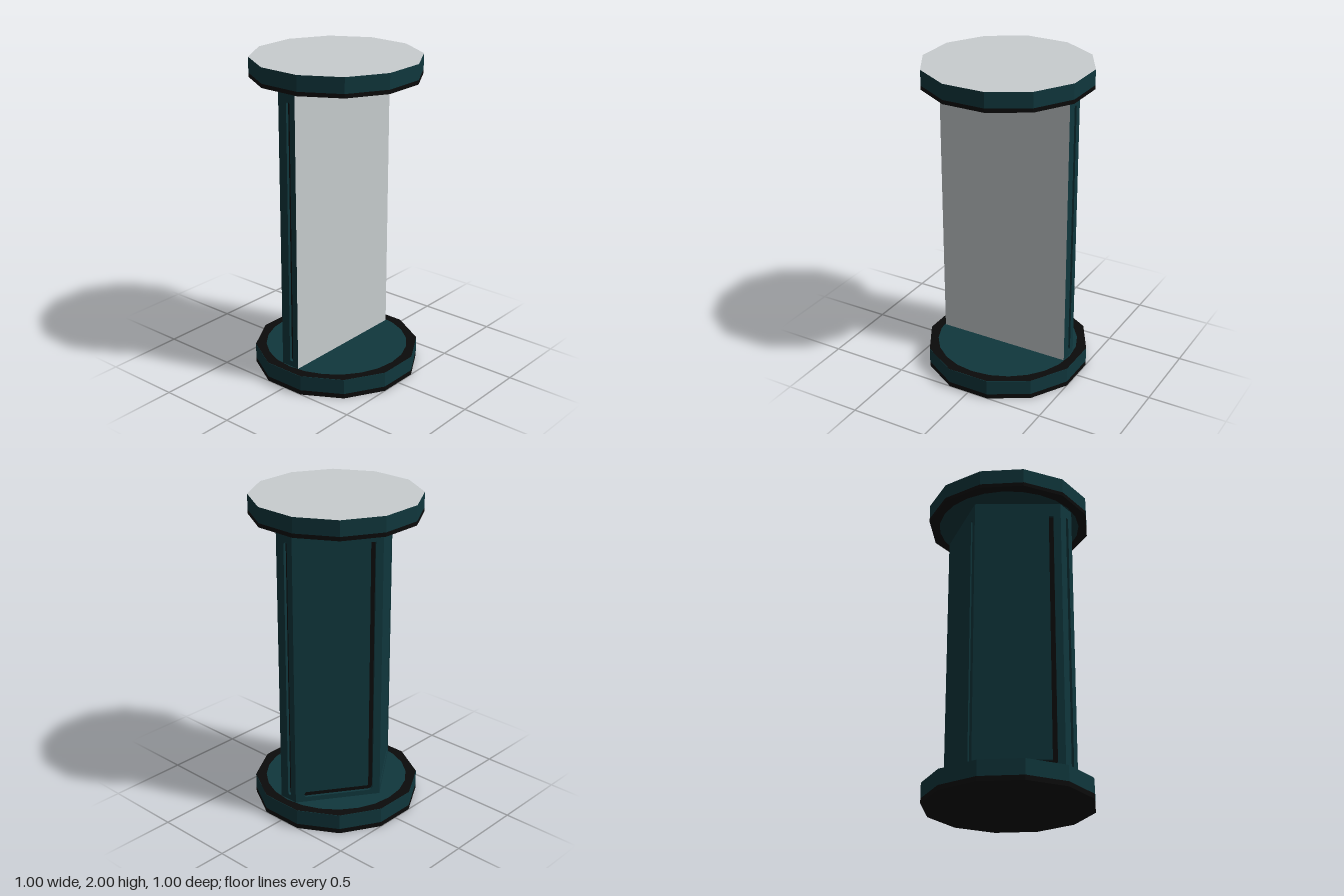
import * as THREE from 'three';

const COLUMN_BASE = 0.12, COLUMN_TOP = 1.885, GROOVE_DEPTH = 0.018;

function makeMaterial(name, color, side = THREE.FrontSide) {
  const m = new THREE.MeshStandardMaterial({ color, side });
  m.name = name;
  m.flatShading = true;
  return m;
}

function add(parent, name, geometry, material, x = 0, y = 0, z = 0) {
  const mesh = new THREE.Mesh(geometry, material);
  mesh.name = name;
  mesh.position.set(x, y, z);
  parent.add(mesh);
  return mesh;
}

// Twelve-sided slab, one unit across the flats
function slab(bottom, top) {
  const r = 0.5 / Math.cos(Math.PI / 12);
  const g = new THREE.CylinderGeometry(r, r, top - bottom, 12);
  g.rotateY(Math.PI / 12);
  g.translate(0, (top + bottom) / 2, 0);
  return g;
}

// Straight vertical groove on the narrow faces
function slotPoints(width) {
  const c = width * 0.58, r = 0.013;
  const s = new THREE.Shape();
  s.absarc(c, 0.173, r, Math.PI, Math.PI * 2);
  s.absarc(c, 1.797, r, 0, Math.PI);
  return s.getPoints(5);
}

// L-shaped groove on the wide faces
function anglePoints(width) {
  const x0 = 0.05, x1 = width - 0.045, y0 = 0.157, w = 0.029, h = 0.034;
  const s = new THREE.Shape();
  s.moveTo(x0 + 0.012, y0);
  s.lineTo(x1 - 0.03, y0);
  s.quadraticCurveTo(x1, y0, x1, y0 + 0.03);
  s.lineTo(x1, 1.79);
  s.lineTo(x1 - w, 1.79);
  s.lineTo(x1 - w, y0 + h);
  s.lineTo(x0 + 0.012, y0 + h);
  s.quadraticCurveTo(x0, y0 + h / 2, x0 + 0.012, y0);
  return s.getPoints(5);
}

// Side walls of a recess that follows the given outline
function recessWall(points) {
  const pos = [];
  points.forEach((a, i) => {
    const b = points[(i + 1) % points.length], d = -GROOVE_DEPTH;
    pos.push(a.x, a.y, 0, b.x, b.y, 0, b.x, b.y, d, a.x, a.y, 0, b.x, b.y, d, a.x, a.y, d);
  });
  const g = new THREE.BufferGeometry();
  g.setAttribute('position', new THREE.Float32BufferAttribute(pos, 3));
  g.computeVertexNormals();
  return g;
}

export function createModel() {
  const model = new THREE.Group();
  model.name = 'pillar';
  const teal = makeMaterial('dark teal', 0x10373d);
  const tealWall = makeMaterial('dark teal recess', 0x10373d, THREE.DoubleSide);
  const black = makeMaterial('black', 0x0b0b0b);
  const grey = makeMaterial('pale grey', 0xc8cdcf);

  // Base: black foot, teal slab, black border on the upper face
  add(model, 'baseFoot', slab(0, 0.03), black);
  add(model, 'baseSlab', slab(0.03, 0.125), teal);
  const border = new THREE.Shape();
  for (let i = 0; i < 12; i++) {
    const a = (i + 0.5) * Math.PI / 6, r = 0.5 / Math.cos(Math.PI / 12);
    border[i ? 'lineTo' : 'moveTo'](Math.cos(a) * r, Math.sin(a) * r);
  }
  border.holes.push(new THREE.Path().absarc(0, 0, 0.45, 0, Math.PI * 2, true));
  add(model, 'baseBorder', new THREE.ShapeGeometry(border, 12), black, 0, 0.127, 0)
    .rotation.x = -Math.PI / 2;

  // Cap: black lower edge, teal slab with grey top, teal underside
  add(model, 'capEdge', slab(1.88, 1.905), black);
  add(model, 'capSlab', slab(1.905, 2), [teal, grey, teal]);
  add(model, 'capUnderside', new THREE.CircleGeometry(0.45, 24), teal, 0, 1.878, 0)
    .rotation.x = Math.PI / 2;

  // Column: five upright faces around a pointed cross-section
  const corners = [[-0.37, 0], [-0.065, 0.438], [0.06, 0.438], [0.06, -0.438], [-0.065, -0.438]];
  const grooves = [anglePoints, slotPoints, null, slotPoints, anglePoints];
  const names = ['frontWideFace', 'frontNarrowFace', 'plainFace', 'backNarrowFace', 'backWideFace'];
  corners.forEach(([x, z], i) => {
    const [x2, z2] = corners[(i + 1) % 5];
    const width = Math.hypot(x2 - x, z2 - z);
    const face = new THREE.Group();
    face.name = names[i];
    face.position.set(x, 0, z);
    face.rotation.y = Math.atan2(z - z2, x2 - x);
    model.add(face);

    const outline = new THREE.Shape([
      new THREE.Vector2(0, COLUMN_BASE), new THREE.Vector2(width, COLUMN_BASE),
      new THREE.Vector2(width, COLUMN_TOP), new THREE.Vector2(0, COLUMN_TOP),
    ]);
    if (grooves[i]) {
      const points = grooves[i](width);
      if (points[0].distanceTo(points[points.length - 1]) < 1e-6) points.pop();
      outline.holes.push(new THREE.Path(points));
      add(face, 'grooveFloor', new THREE.ShapeGeometry(new THREE.Shape(points)), black, 0, 0, -GROOVE_DEPTH);
      add(face, 'grooveWall', recessWall(points), tealWall);
    }
    add(face, 'panel', new THREE.ShapeGeometry(outline), grooves[i] ? teal : grey);
  });
  return model;
}
